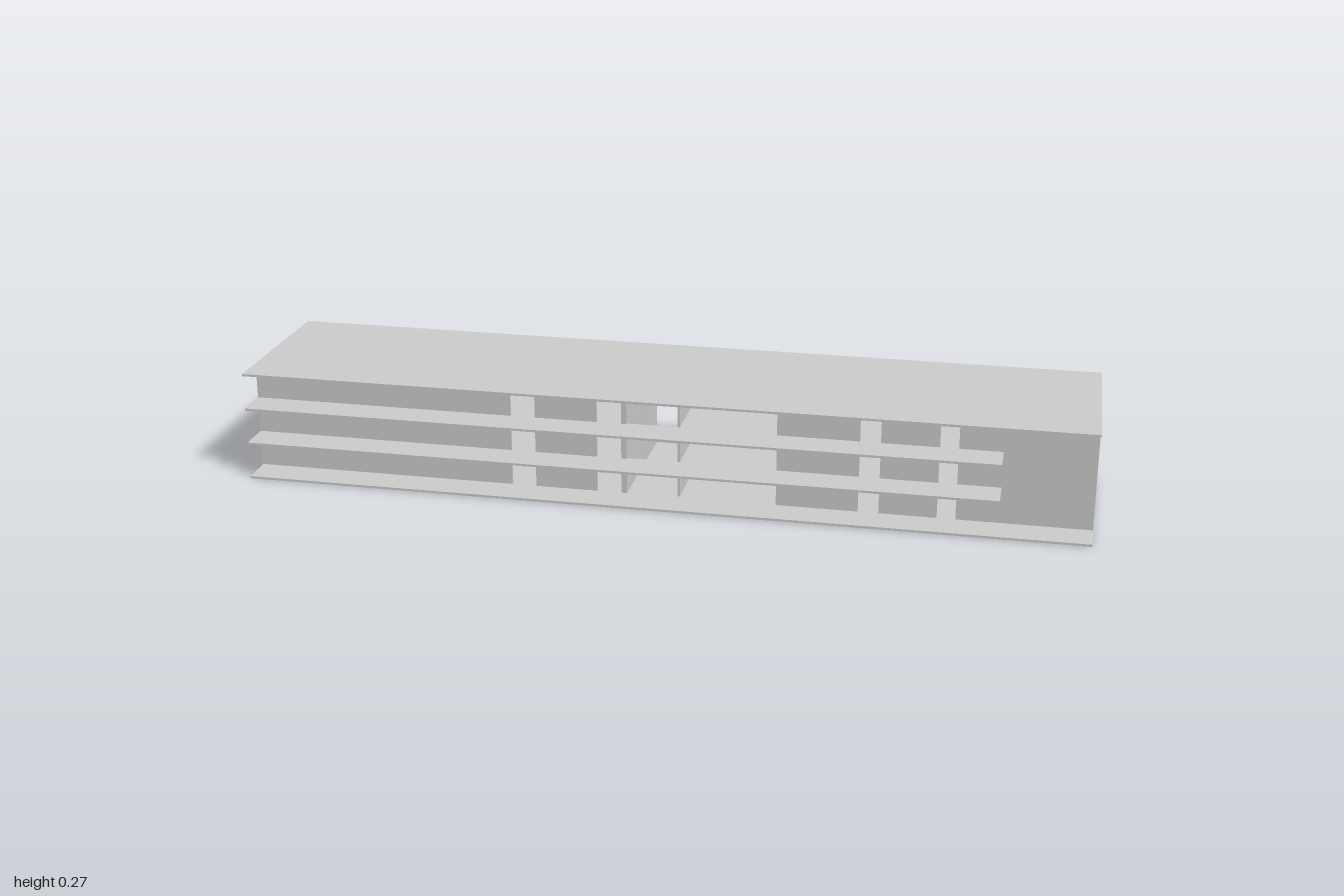
import * as THREE from 'three';

const T = 0.0055;                 // thickness of slabs and walls
const PITCH = 0.0872;             // storey height, slab to slab
const TOP = 3 * PITCH;            // underside of the roof slab
const BACK = -0.211, FRONT = 0.211;
const WALL = 0.125;               // inner face of the gallery wall
const DOOR = 0.053;               // door height
const material = new THREE.MeshStandardMaterial({ color: 0xcccccc });

function addMesh(group, name, geometry, x = 0, y = 0, z = 0) {
  const mesh = new THREE.Mesh(geometry, material);
  mesh.name = name;
  mesh.position.set(x, y, z);
  group.add(mesh);
}

const outline = (pts, Type = THREE.Shape) => new Type(pts.map(([x, y]) => new THREE.Vector2(x, y)));
const rect = (x0, y0, x1, y1) => [[x0, y0], [x1, y0], [x1, y1], [x0, y1]];
const extrude = (shape) => new THREE.ExtrudeGeometry(shape, { depth: T, bevelEnabled: false });

export function createModel() {
  const group = new THREE.Group();

  // Full slabs: ground and roof
  for (const [name, y] of [['groundSlab', 0], ['roofSlab', TOP]]) {
    addMesh(group, name, new THREE.BoxGeometry(2, T, FRONT - BACK), 0, y + T / 2, 0);
  }

  // Middle floors: open stairwell at the back, gallery cut short at one end
  const wellL = -0.083, wellR = 0.04;
  const floorShape = outline([
    [-1, BACK], [wellL, BACK], [wellL, WALL], [wellR, WALL], [wellR, BACK],
    [1, BACK], [1, WALL], [0.79, WALL], [0.79, FRONT], [-1, FRONT],
  ]);
  for (let i = 1; i < 3; i++) {
    const floor = extrude(floorShape).rotateX(Math.PI / 2); // shape y becomes z
    addMesh(group, 'middleFloor', floor, 0, i * PITCH + T, 0);
  }

  // Gallery wall: two stretches either side of the open entrance, with doors on each storey
  const stretches = [
    { x0: -1, x1: -0.083, doors: [[-0.364, -0.305], [-0.155, -0.096]] },
    { x0: 0.273, x1: 1, doors: [[0.465, 0.513], [0.647, 0.69]] },
  ];
  for (const { x0, x1, doors } of stretches) {
    const wall = outline(rect(x0, 0.001, x1, TOP + 0.001));
    for (const [a, b] of doors) {
      for (let i = 0; i < 3; i++) {
        const sill = i * PITCH + T;
        wall.holes.push(outline(rect(a, sill, b, sill + DOOR), THREE.Path));
      }
    }
    addMesh(group, 'galleryWall', extrude(wall), 0, 0, WALL);
  }

  // Cross walls dividing the rooms and enclosing the stairwell
  for (const x of [-0.49, -0.29, -0.086, 0.041, 0.35, 0.521, 0.701]) {
    addMesh(group, 'crossWall', new THREE.BoxGeometry(T, TOP, WALL - BACK - 0.001),
      x, TOP / 2 + 0.001, (WALL + BACK + 0.001) / 2);
  }

  return group;
}
